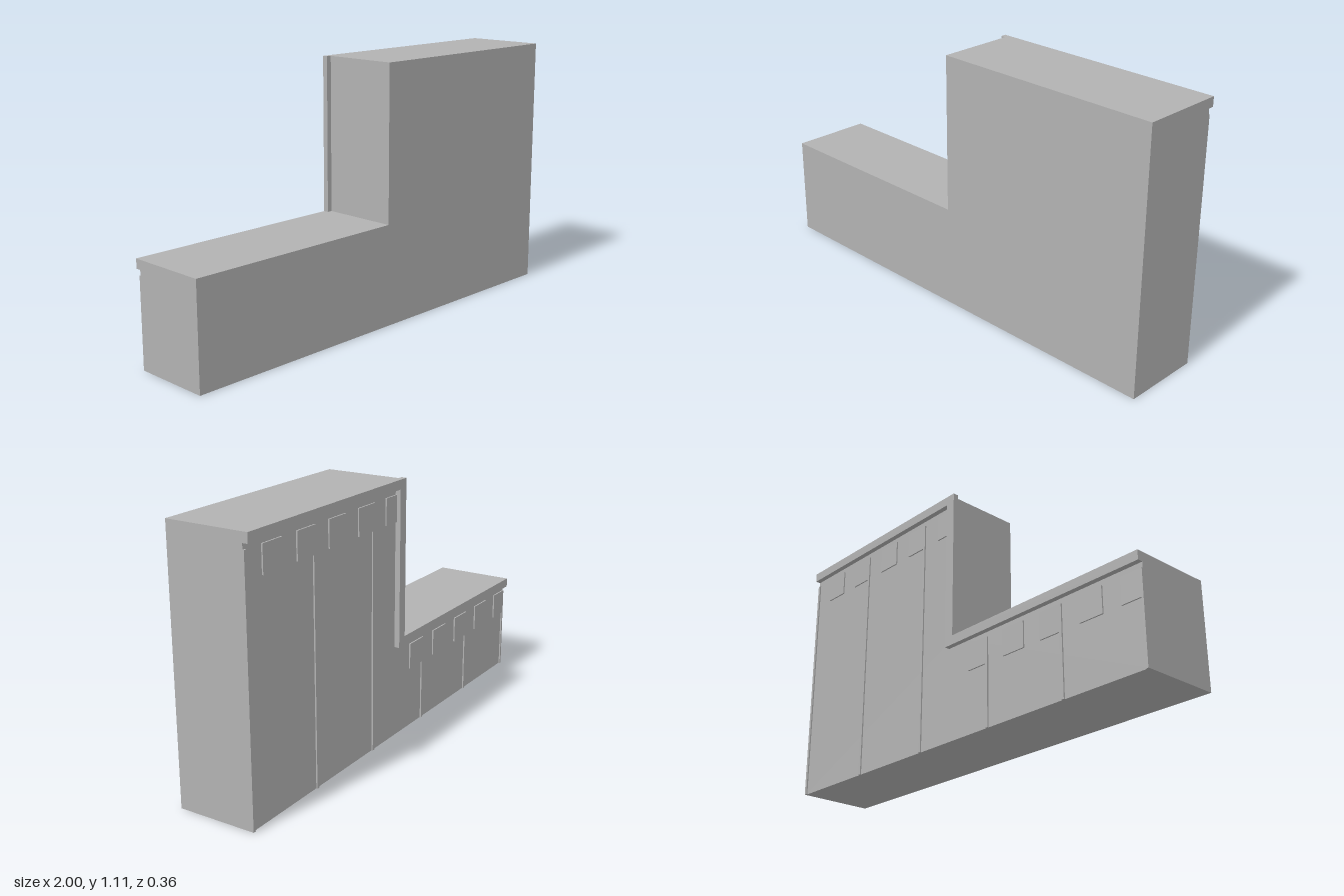
import * as THREE from 'three';

const LOW = 0.44, HIGH = 1.11;        // heights of the two sections
const FRONT = 0.178, BACK = -0.155;   // wall faces
const RELIEF = 0.006;                 // depth of battens and blocks

export function createModel() {
  const root = new THREE.Group();
  root.name = 'steppedWall';
  const grey = new THREE.MeshStandardMaterial({ color: 0xb2b2b2 });
  grey.name = 'grey';

  const add = (name, geometry) => {
    const mesh = new THREE.Mesh(geometry, grey);
    mesh.name = name;
    root.add(mesh);
  };
  // Outline in x/y pushed from z0 to z1
  const slab = (name, points, z0, z1) => {
    const shape = new THREE.Shape(points.map(([x, y]) => new THREE.Vector2(x, y)));
    const geometry = new THREE.ExtrudeGeometry(shape, { depth: z1 - z0, bevelEnabled: false });
    add(name, geometry.translate(0, 0, z0));
  };
  const relief = (name, x0, x1, y0, y1, depth) => {
    const geometry = new THREE.BoxGeometry(x1 - x0, y1 - y0, depth);
    add(name, geometry.translate((x0 + x1) / 2, (y0 + y1) / 2, BACK - depth / 2));
  };

  // Wall with one step
  slab('wall', [[-1, 0], [1, 0], [1, HIGH], [0, HIGH], [0, LOW], [-1, LOW]], BACK, FRONT);

  // Coping band following the step along the back
  slab('coping', [
    [-1, LOW - 0.04], [0.022, LOW - 0.04], [0.022, HIGH - 0.04], [1, HIGH - 0.04],
    [1, HIGH], [-0.022, HIGH], [-0.022, LOW], [-1, LOW],
  ], -FRONT, BACK);

  // Square blocks under the coping
  for (let i = 0; i < 10; i++) {
    const x = 0.9 - i * 0.2;
    const top = (x > 0 ? HIGH : LOW) - 0.063;
    relief('block', Math.max(x - 0.112, -1), x, top - 0.112, top, RELIEF);
  }

  // Vertical battens, ending at the top or the bottom of the blocks
  for (let i = 0; i < 6; i++) {
    const x = 1 - i * 0.4;
    const top = (x > 0 ? HIGH : LOW) - 0.063;
    const right = Math.max(x - 0.012, -1);
    const left = i === 5 ? -0.99 : x;
    const y1 = i === 0 ? top : top - 0.112;
    relief('batten', right, left, 0, y1, RELIEF);
  }
  return root;
}
